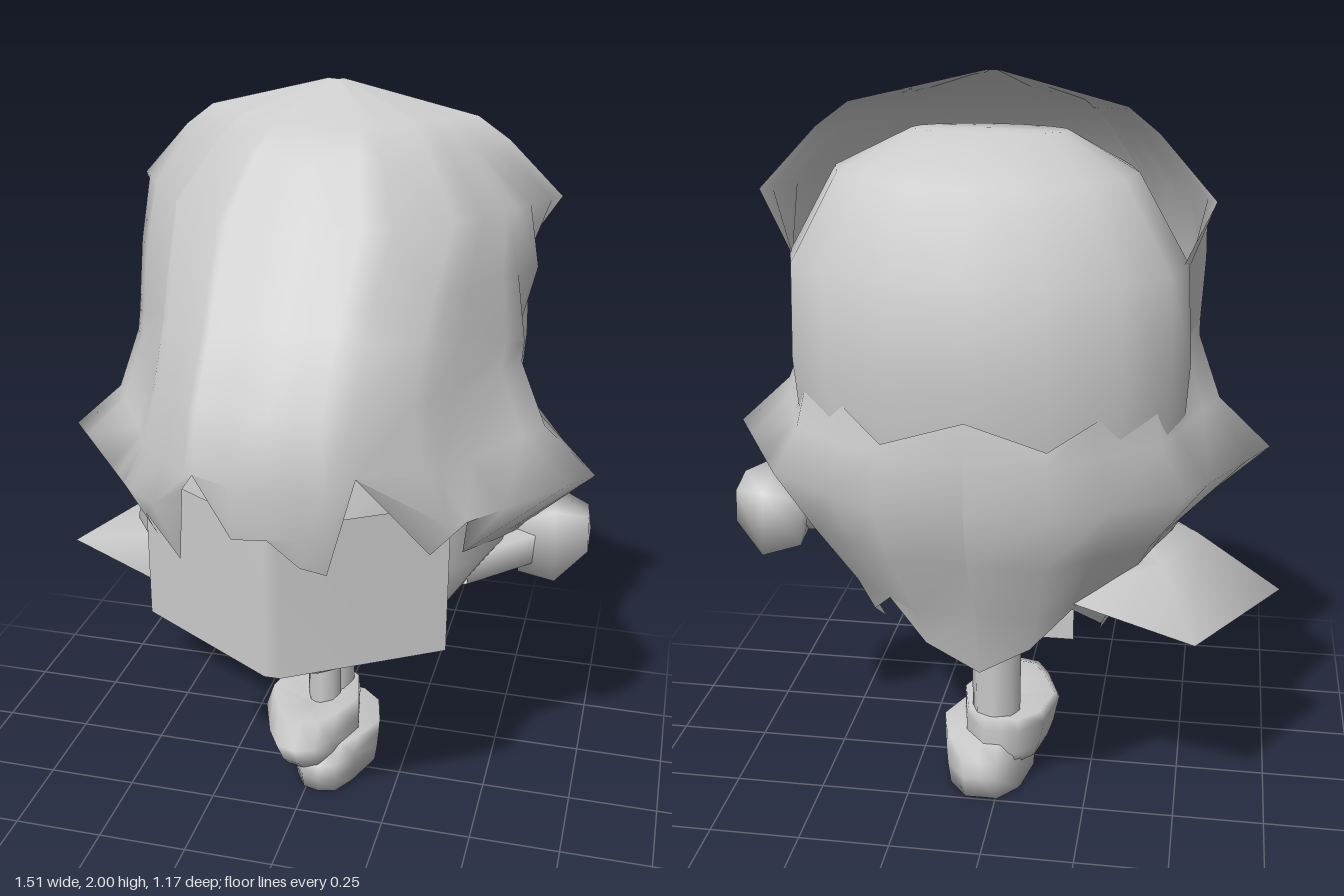
import * as THREE from 'three';

const grey = new THREE.MeshStandardMaterial({ color: 0xcccccc, side: THREE.DoubleSide });

// Half outlines seen from above: [degrees from the front, x, z] on a unit plan
const PLAN = [[0, 0, 1], [20, .38, .93], [46, .66, .62], [90, 1, 0], [136, .8, -.66], [164, .36, -1], [180, 0, -1]];
const ROUND = [0, 22.5, 45, 67.5, 90, 112.5, 135, 157.5, 180]
  .map(a => [a, Math.sin(a * Math.PI / 180), Math.cos(a * Math.PI / 180)]);

// Linear lookup in a table sorted by its first column
function lookup(table, t) {
  let i = 1;
  while (i < table.length - 1 && table[i][0] < t) i++;
  const a = table[i - 1], b = table[i];
  const k = THREE.MathUtils.clamp((t - a[0]) / (b[0] - a[0]), 0, 1);
  return a.map((v, j) => v + (b[j] - v) * k);
}

// Point on a section [y, half width, front z, back z, centre x, side flare]
function onSection([y, w, zf, zb, cx, flare = 0], plan, angle) {
  const [, px, pz] = lookup(plan, Math.abs(angle));
  const spike = flare * Math.max(0, 1 - Math.abs(Math.abs(angle) - 90) / 80);
  return [cx + Math.sign(angle) * (px * w + spike), y, (zf + zb) / 2 + pz * (zf - zb) / 2];
}

// Skin rows of points that share a length
function loft(rows, closed = true) {
  const n = rows[0].length, index = [];
  for (let r = 0; r < rows.length - 1; r++)
    for (let c = 0; c < (closed ? n : n - 1); c++) {
      const a = r * n + c, b = r * n + (c + 1) % n;
      index.push(a, b, a + n, b, b + n, a + n);
    }
  const g = new THREE.BufferGeometry();
  g.setAttribute('position', new THREE.Float32BufferAttribute(rows.flat(2), 3));
  g.setIndex(index);
  g.computeVertexNormals();
  return g;
}

function sectionLoft(sections, plan) {
  const half = plan.map(p => p[0]);
  const angles = [...half, ...half.slice(1, -1).reverse().map(a => -a)];
  return loft(sections.map(s => angles.map(a => onSection(s, plan, a))));
}

// Hair sections, its upper edge as [degrees, y] and its jagged hem as [degrees, y]
const HAIR = [
  [.51, .32, .40, -.43, .01, 0], [.70, .43, .48, -.48, .01, 0], [.87, .53, .54, -.55, .02, .03],
  [1.02, .57, .57, -.59, .02, .16], [1.15, .55, .585, -.59, .02, .04], [1.32, .525, .56, -.575, .015, 0],
  [1.55, .53, .39, -.566, .02, 0]];
const HAIR_TOP = [[0, 1.5], [46, 1.45], [90, 1.37], [136, 1.3], [164, 1.19], [180, 1.25]];
const HEM = [
  [-180, .51], [-164, .6], [-152, .7], [-125, .55], [-104, .84], [-80, .85], [-58, .87], [-52, .97], [-47, .87],
  [-43, .95], [-32, .86], [-18, 1.16], [-9, 1.0], [0, 1.02], [7, .94], [13, .92], [20, 1.19], [41, .93], [46, 1.02],
  [58, .88], [80, .85], [104, .84], [125, .55], [152, .7], [164, .6], [180, .51]];
const COLUMNS = [...new Set([...HEM.map(h => h[0]), ...PLAN.flatMap(p => [p[0], -p[0]])])].sort((a, b) => a - b);

const hairTop = angle => lookup(HAIR_TOP, Math.abs(angle))[1];

function hairSkirt() {
  return loft([2, 1.32, 1.15, 1.02, .87, .7, .5].map(row => COLUMNS.map(a => {
    const y = Math.max(lookup(HEM, a)[1], Math.min(hairTop(a), row));
    return onSection(lookup(HAIR, y), PLAN, a);
  })), false);
}

// Open-backed hood growing out of the hair: [section, angle of the rear edge]
function hoodShell() {
  const sections = [
    [[1.55, .54, .39, -.566, .02], 115], [[1.71, .57, .28, -.68, .03], 90], [[1.86, .43, .18, -.46, .035], 90],
    [[1.92, .35, .07, -.31, .035], 90], [[2, .02, -.1, -.12, .02], 90]];
  const cols = COLUMNS.filter(a => Math.abs(a) <= 136);
  const narrow = (a, limit) => Math.sign(a) *
    (Math.min(Math.abs(a), 46) + Math.max(Math.abs(a) - 46, 0) * (limit - 46) / 90);
  return loft([
    cols.map(a => onSection(lookup(HAIR, hairTop(a)), PLAN, a)),
    ...sections.map(([s, limit]) => cols.map(a => onSection(s, PLAN, narrow(a, limit))))], false);
}

export function createModel() {
  const model = new THREE.Group();
  const add = (name, geometry) => {
    const mesh = new THREE.Mesh(geometry, grey);
    mesh.name = name;
    model.add(mesh);
    return mesh;
  };

  // Head
  add('head', sectionLoft([
    [.455, 0, .06, .06, .01], [.475, .1, .22, -.04, .01], [.51, .19, .34, -.12, .01], [.54, .25, .37, -.17, .01],
    [.63, .37, .41, -.27, .01], [.83, .52, .4, -.38, .01], [1.05, .48, .4, -.45, .01], [1.25, .4, .36, -.45, .01]], ROUND));

  // Folded face panel
  const fold = [[-.39, .3], [0, .54], [.04, .54], [.42, .3]];
  add('facePanel', loft([.62, 1.04].map(y => fold.map(([x, z]) => [x, y, z])), false));

  // Hair and headwear
  add('hair', hairSkirt());
  add('hood', hoodShell());
  add('backDome', sectionLoft([
    [1.15, .5, .1, -.55, .015], [1.32, .51, .1, -.575, .015], [1.56, .5, .1, -.555, .02],
    [1.77, .38, .1, -.43, .03], [1.855, .2, 0, -.17, .03], [1.86, 0, -.1, -.1, .03]], ROUND));

  // Right sleeve, flared and open at the bottom
  add('rightSleeve', loft([
    [[-.76, .62, -.05], [-.54, .62, -.41], [-.17, .74, -.42], [-.32, .62, .2]],
    [[-.53, .78, -.06], [-.45, .81, -.34], [-.2, .82, -.36], [-.3, .8, .15]],
    [[-.35, .86, -.06], [-.35, .86, -.2], [-.2, .86, -.25], [-.25, .86, .1]]]));

  // Left arm and blocky fist
  const armPath = new THREE.LineCurve3(new THREE.Vector3(.4, .76, .06), new THREE.Vector3(.6, .8, -.07));
  add('leftArm', new THREE.TubeGeometry(armPath, 1, .08, 6));
  const corners = [[.11, .02, .11], [.085, 0, -.115], [-.11, 0, -.09], [-.09, .01, .12]];
  const fistRing = (x, y, z, size) => corners.map(([dy, dx, dz]) => [x + (dx - dy * .1) * size, y + dy * size, z + dz * size]);
  add('leftFist', loft([
    fistRing(.54, .79, -.08, 0), fistRing(.55, .79, -.08, .75), fistRing(.645, .8, -.1, 1),
    fistRing(.735, .825, -.1, .5), fistRing(.745, .825, -.1, 0)]));

  // Cloth hanging below the head
  const cloth = add('cloth', new THREE.PlaneGeometry(.41, .25));
  cloth.position.set(.015, .515, .008);

  // Legs, mid-stride
  [['rightLeg', .01, -.045, .052], ['leftLeg', .015, -.115, .073]].forEach(([name, x, z, r]) => {
    const leg = add(name, new THREE.CylinderGeometry(r, r * .92, .44, 8));
    leg.position.set(x, .38, z);
  });

  // Boots
  const boot = (name, rows) => add(name, sectionLoft(rows, PLAN));
  boot('rightBoot', [[.08, 0, 0, 0, -.01], [.08, .12, .16, -.18, 0], [.12, .13, .2, -.19, -.005],
    [.19, .14, .24, -.19, -.01], [.23, .13, .15, -.19, -.01], [.2, 0, 0, 0, -.01]]);
  boot('leftBoot', [[0, 0, 0, 0, .04], [0, .125, .15, -.24, .04], [.06, .13, .18, -.24, .045],
    [.11, .135, .18, -.235, .045], [.145, .13, .12, -.2, .05], [.145, 0, 0, 0, .05]]);

  return model;
}
